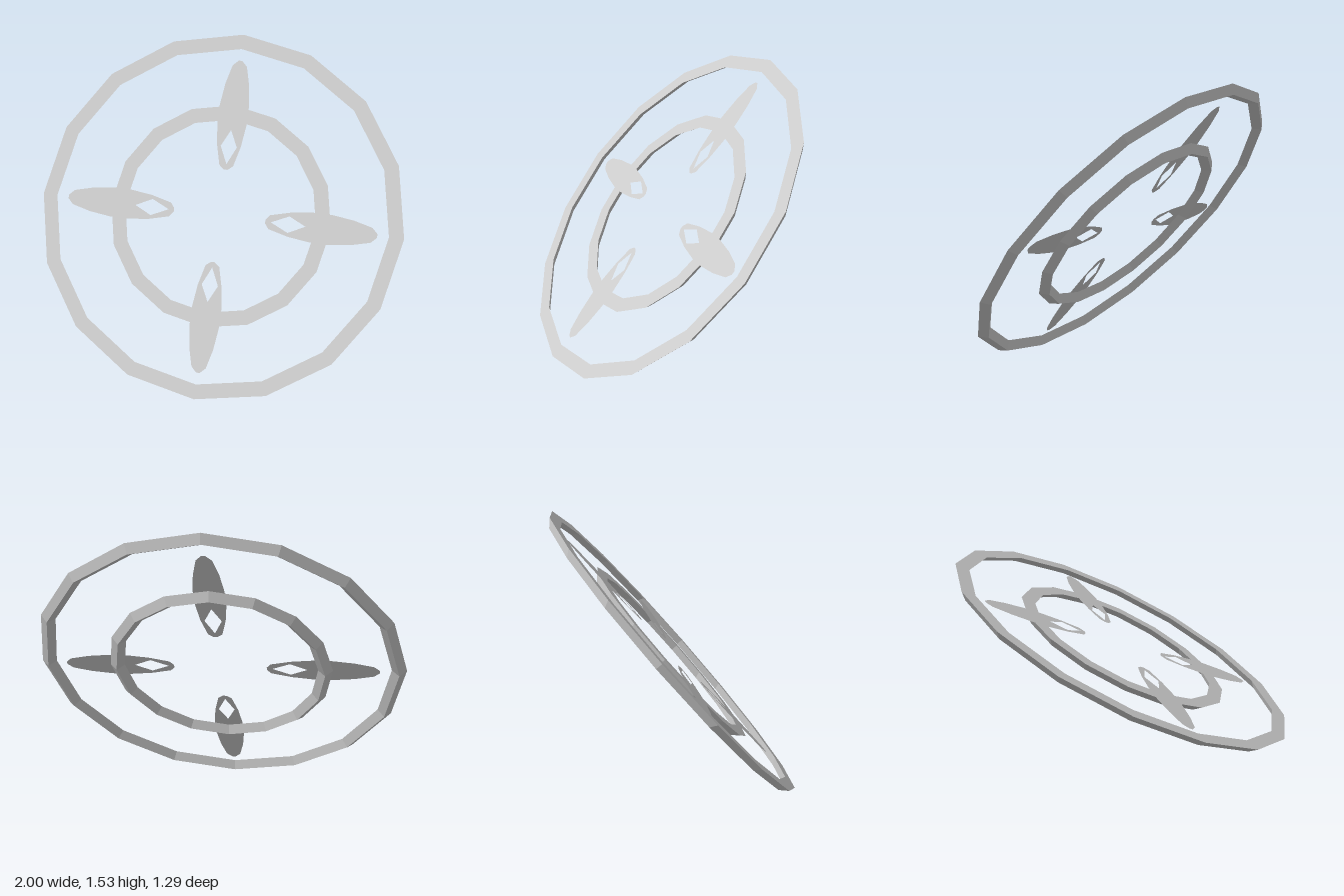
import * as THREE from 'three';

export function createModel() {
  const lightGrey = new THREE.MeshStandardMaterial({ color: 0xcccccc, flatShading: true, side: THREE.DoubleSide });
  lightGrey.name = 'lightGrey';

  const model = new THREE.Group();
  model.name = 'tiltedRings';

  // Everything is laid out flat in a disc (y = disc normal), then tilted
  const disc = new THREE.Group();
  disc.name = 'disc';
  disc.position.set(0, 0.767, 0.002);
  disc.rotation.x = THREE.MathUtils.degToRad(50);
  model.add(disc);

  // Sixteen-sided ring: flat face in front, wedge-shaped back
  function addRing(name, outer, top) {
    const profile = [[outer - 0.04, top - 0.04], [outer, top], [outer - 0.08, top], [outer - 0.04, top - 0.04]];
    const points = profile.map(([r, y]) => new THREE.Vector2(r, y));
    const ring = new THREE.Mesh(new THREE.LatheGeometry(points, 16), lightGrey);
    ring.name = name;
    disc.add(ring);
  }
  addRing('outerRing', 1, 0);
  addRing('innerRing', 0.61, -0.015);

  // Leaf-shaped blade with a diamond hole near its inner tip
  const side = [[0.01, 0.302], [0.04, 0.272], [0.066, 0.17], [0.081, 0.05],
    [0.081, -0.05], [0.066, -0.17], [0.038, -0.28], [0.01, -0.302]];
  const outline = [...side, ...side.map(([x, y]) => [-x, y]).reverse()];
  const leaf = new THREE.Shape(outline.map(([x, y]) => new THREE.Vector2(x, y)));
  const diamond = [[0, -0.272], [0.045, -0.175], [0, -0.083], [-0.045, -0.175]];
  leaf.holes.push(new THREE.Path(diamond.map(([x, y]) => new THREE.Vector2(x, y))));
  const bladeGeometry = new THREE.ShapeGeometry(leaf);
  bladeGeometry.translate(0, 0.556, 0);
  bladeGeometry.rotateX(-Math.PI / 2);

  for (let i = 0; i < 4; i++) {
    const blade = new THREE.Mesh(bladeGeometry, lightGrey);
    blade.name = 'blade' + (i + 1);
    blade.position.y = -0.0145;
    blade.rotation.y = i * Math.PI / 2;
    disc.add(blade);
  }
  return model;
}
